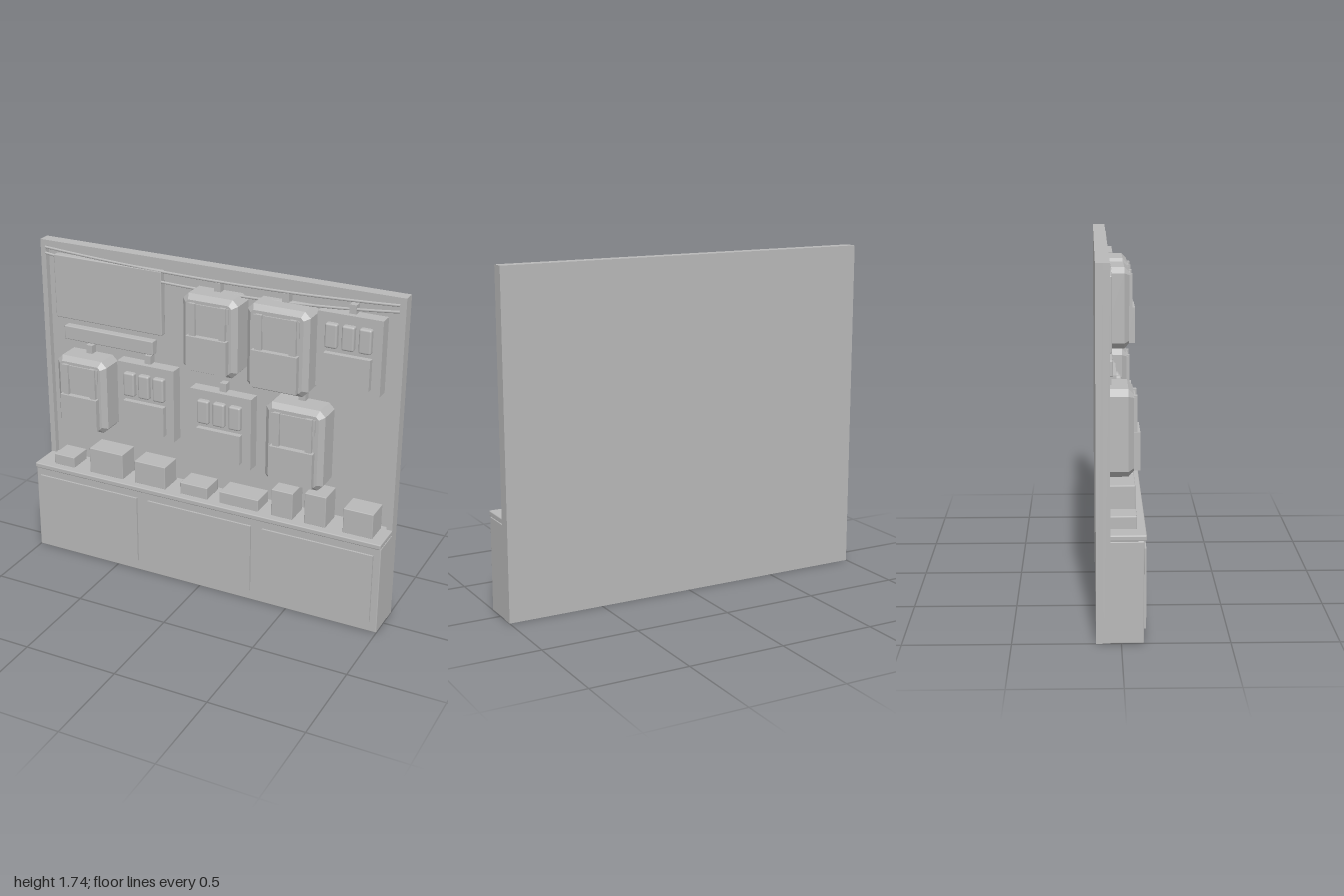
import * as THREE from 'three';
import { RoundedBoxGeometry } from 'three/addons/geometries/RoundedBoxGeometry.js';

const grey = new THREE.MeshStandardMaterial({ color: 0xb8b8b8 });
grey.name = 'plain grey';

const WALL = -0.08; // face of the recessed panel

function add(parent, name, geometry) {
  const mesh = new THREE.Mesh(geometry, grey);
  mesh.name = name;
  parent.add(mesh);
  return mesh;
}

// Box from its limits; a bevel softens the edges
function box(parent, name, x0, x1, y0, y1, z0, z1, bevel = 0) {
  const size = [x1 - x0, y1 - y0, z1 - z0];
  const geometry = bevel
    ? new RoundedBoxGeometry(...size, 2, bevel)
    : new THREE.BoxGeometry(...size);
  add(parent, name, geometry).position.set((x0 + x1) / 2, (y0 + y1) / 2, (z0 + z1) / 2);
}

function group(parent, name) {
  const g = new THREE.Group();
  g.name = name;
  parent.add(g);
  return g;
}

function hook(parent, x, top) {
  box(parent, 'hook', x - 0.018, x + 0.018, top - 0.01, top + 0.045, WALL, -0.04);
}

// Chamfered pack with a flap, two straps and a front pocket
function pack(parent, x0, x1, y0, y1) {
  const g = group(parent, 'backpack');
  const w = x1 - x0, h = y1 - y0, cx = (x0 + x1) / 2, b = 0.025, cut = 0.015;
  const a = w / 2 - b, c = h / 2 - b;
  const outline = new THREE.Shape([
    [-a + cut, -c], [a - cut, -c], [a, -c + cut], [a, c - cut],
    [a - cut, c], [-a + cut, c], [-a, c - cut], [-a, -c + cut],
  ].map(([x, y]) => new THREE.Vector2(x, y)));
  const body = add(g, 'packBody', new THREE.ExtrudeGeometry(outline, {
    depth: 0.115, bevelThickness: b, bevelSize: b, bevelSegments: 1,
  }));
  body.position.set(cx, (y0 + y1) / 2, -0.08);

  const half = w * 0.37;
  box(g, 'frontPocket', cx - half, cx + half, y0 + h * 0.065, y0 + h * 0.5, 0.05, 0.09);
  box(g, 'flap', cx - half, cx + half, y0 + h * 0.71, y0 + h * 0.9, 0.05, 0.068);
  for (const s of [-1, 1]) {
    const sx = cx + s * w * 0.275;
    box(g, 'strap', sx - w * 0.055, sx + w * 0.055, y0 + h * 0.48, y0 + h * 0.91, 0.05, 0.077);
  }
  hook(g, cx, y1);
}

// Flat carrier with three small pouches above a wide pocket
function carrier(parent, x0, x1, y0, y1) {
  const g = group(parent, 'pouchBoard');
  const w = x1 - x0, h = y1 - y0, cx = (x0 + x1) / 2;
  box(g, 'board', x0, x1, y0, y1, WALL, -0.012);
  for (const i of [-1, 0, 1]) {
    const px = cx + i * w * 0.26;
    box(g, 'pouch', px - w * 0.095, px + w * 0.095, y1 - h * 0.445, y1 - h * 0.12, -0.03, 0.016, 0.01);
  }
  box(g, 'widePocket', cx - w * 0.36, cx + w * 0.36, y0 + h * 0.08, y0 + h * 0.49, -0.03, 0.018);
  hook(g, cx, y1);
}

export function createModel() {
  const model = new THREE.Group();
  model.name = 'gearWall';

  // Back panel with a raised rim
  const wall = group(model, 'wall');
  box(wall, 'backPanel', -1, 1, 0, 1.735, -0.115, WALL);
  box(wall, 'topRim', -1, 1, 1.705, 1.735, WALL, -0.05);
  for (const s of [-1, 1]) {
    box(wall, 'sideRim', s * 0.985 - 0.015, s * 0.985 + 0.015, 0, 1.705, WALL, -0.05);
  }

  // Counter with three doors
  const counter = group(model, 'counter');
  box(counter, 'cabinet', -1, 1, 0, 0.485, WALL, 0.103, 0.005);
  box(counter, 'counterTop', -1, 1, 0.485, 0.513, WALL, 0.115, 0.006);
  for (const x of [-0.67, -0.003, 0.662]) {
    box(counter, 'door', x - 0.301, x + 0.301, 0.06, 0.442, 0.09, 0.114);
  }

  // Boxes standing on the counter: left, right, top
  for (const [x0, x1, top] of [
    [-0.9, -0.775, 0.572], [-0.675, -0.473, 0.655], [-0.4, -0.217, 0.64], [-0.128, 0.03, 0.577],
    [0.1, 0.32, 0.577], [0.393, 0.51, 0.66], [0.575, 0.69, 0.682], [0.783, 0.94, 0.647],
  ]) box(model, 'storageBox', x0, x1, 0.51, top, -0.055, 0.073, 0.004);

  // Packs and carriers hanging on the wall
  pack(model, -0.12, 0.18, 1.205, 1.615);
  pack(model, 0.232, 0.56, 1.18, 1.62);
  pack(model, -0.87, -0.575, 0.743, 1.15);
  pack(model, 0.34, 0.655, 0.69, 1.125);
  carrier(model, 0.575, 0.907, 1.235, 1.62);
  carrier(model, -0.537, -0.205, 0.754, 1.155);
  carrier(model, -0.11, 0.235, 0.69, 1.085);

  // Blank sign and the shelf strip below it
  box(model, 'signBoard', -0.917, -0.286, 1.325, 1.668, WALL, -0.04, 0.005);
  box(model, 'shelfStrip', -0.868, -0.338, 1.21, 1.285, WALL, -0.035, 0.005);

  // Two sagging cables under the top rim
  for (const [end, middle] of [[1.697, 1.665], [1.665, 1.608]]) {
    const curve = new THREE.QuadraticBezierCurve3(
      new THREE.Vector3(-0.97, end, -0.048),
      new THREE.Vector3(0, 2 * middle - end, -0.048),
      new THREE.Vector3(0.97, end, -0.048));
    add(model, 'cable', new THREE.TubeGeometry(curve, 24, 0.007, 8));
  }
  return model;
}
